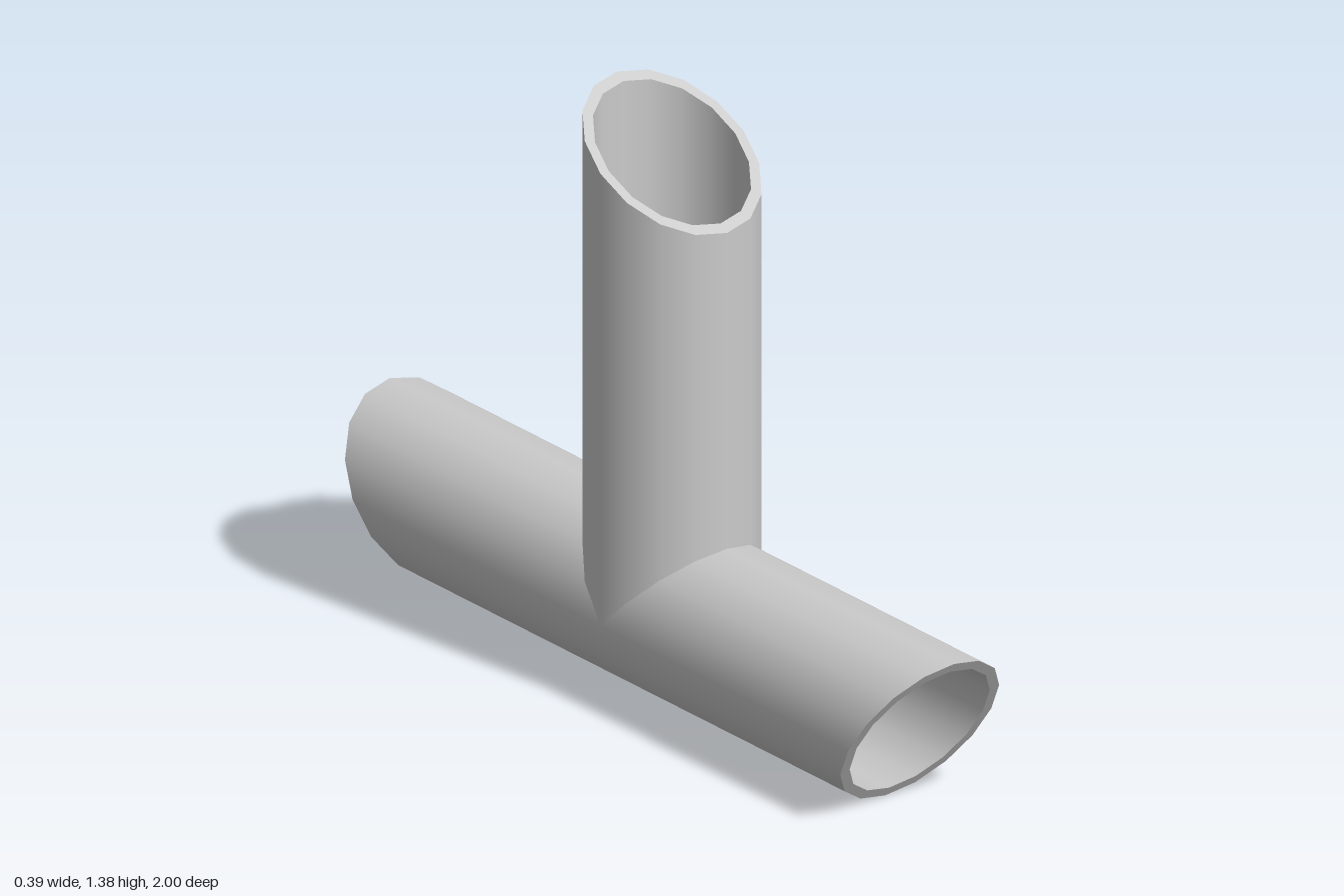
import * as THREE from 'three';

const OUTER = 0.195, INNER = 0.172, SIDES = 16, AXIS_Y = 0.195;
const grey = new THREE.MeshStandardMaterial({ color: 0xcccccc });
const greyDouble = new THREE.MeshStandardMaterial({ color: 0xcccccc, side: THREE.DoubleSide });

function addMesh(parent, name, geometry, material) {
  const mesh = new THREE.Mesh(geometry, material);
  mesh.name = name;
  parent.add(mesh);
  return mesh;
}

// Move every vertex along the pipe axis by a rule
function moveY(geometry, rule) {
  const p = geometry.attributes.position;
  for (let i = 0; i < p.count; i++) p.setY(i, rule(p.getX(i), p.getY(i), p.getZ(i)));
  return geometry;
}

// Hollow pipe along +y with a shaped start (saddle joint) and a slanted end
function pipe(name, start, end) {
  const group = new THREE.Group();
  group.name = name;
  for (const [part, radius, material] of [['OuterWall', OUTER, grey], ['InnerWall', INNER, greyDouble]]) {
    const wall = new THREE.CylinderGeometry(radius, radius, 2, SIDES, 1, true);
    addMesh(group, name + part, moveY(wall, (x, y, z) => (y > 0 ? end(z) : start(z))), material);
  }
  const rim = new THREE.RingGeometry(INNER, OUTER, SIDES).rotateX(-Math.PI / 2);
  moveY(rim, (x, y, z) => end(z)).computeVertexNormals();
  addMesh(group, name + 'Rim', rim, grey);
  return group;
}

// Swept, pitched blade: a plane bent into polar coordinates
function bladeGeometry() {
  const g = new THREE.PlaneGeometry(2, 1, 14, 10);
  const p = g.attributes.position;
  for (let i = 0; i < p.count; i++) {
    const s = p.getX(i), t = p.getY(i) + 0.5;
    const tip = 0.147 - 0.022 * s ** 4;
    const r = THREE.MathUtils.lerp(0.022, tip, t);
    const middle = 8 - 38 * t;
    const halfWidth = 26 + 18 * Math.sqrt(t);
    const a = THREE.MathUtils.degToRad(middle + s * halfWidth);
    p.setXYZ(i, r * Math.cos(a), r * Math.sin(a), s * 0.025);
  }
  g.computeVertexNormals();
  return g;
}

function fan() {
  const group = new THREE.Group();
  group.name = 'fan';
  addMesh(group, 'fanHub', new THREE.CylinderGeometry(0.03, 0.03, 0.07, 24).rotateX(Math.PI / 2), grey);
  const blade = bladeGeometry();
  for (let i = 0; i < 5; i++) {
    addMesh(group, 'fanBlade', blade, greyDouble).rotation.z = (i * 2 * Math.PI) / 5;
  }
  return group;
}

export function createModel() {
  const model = new THREE.Group();
  model.name = 'pipeTee';

  // Horizontal run: two halves meeting under the riser
  const front = pipe('frontPipe', z => Math.max(0, -z), z => 0.8775 - 0.628 * z);
  front.rotation.x = Math.PI / 2;
  const back = pipe('backPipe', z => Math.max(0, z), z => 0.8775 + 0.628 * z);
  back.rotation.x = -Math.PI / 2;

  // Vertical riser, mitred onto the run
  const riser = pipe('riserPipe', z => Math.abs(z), z => 1.059 - 0.635 * z);

  // Fan inside the back half
  const rotor = fan();
  rotor.position.z = -0.58;

  const body = new THREE.Group();
  body.name = 'body';
  body.position.y = AXIS_Y;
  body.add(front, back, riser, rotor);
  model.add(body);
  return model;
}
